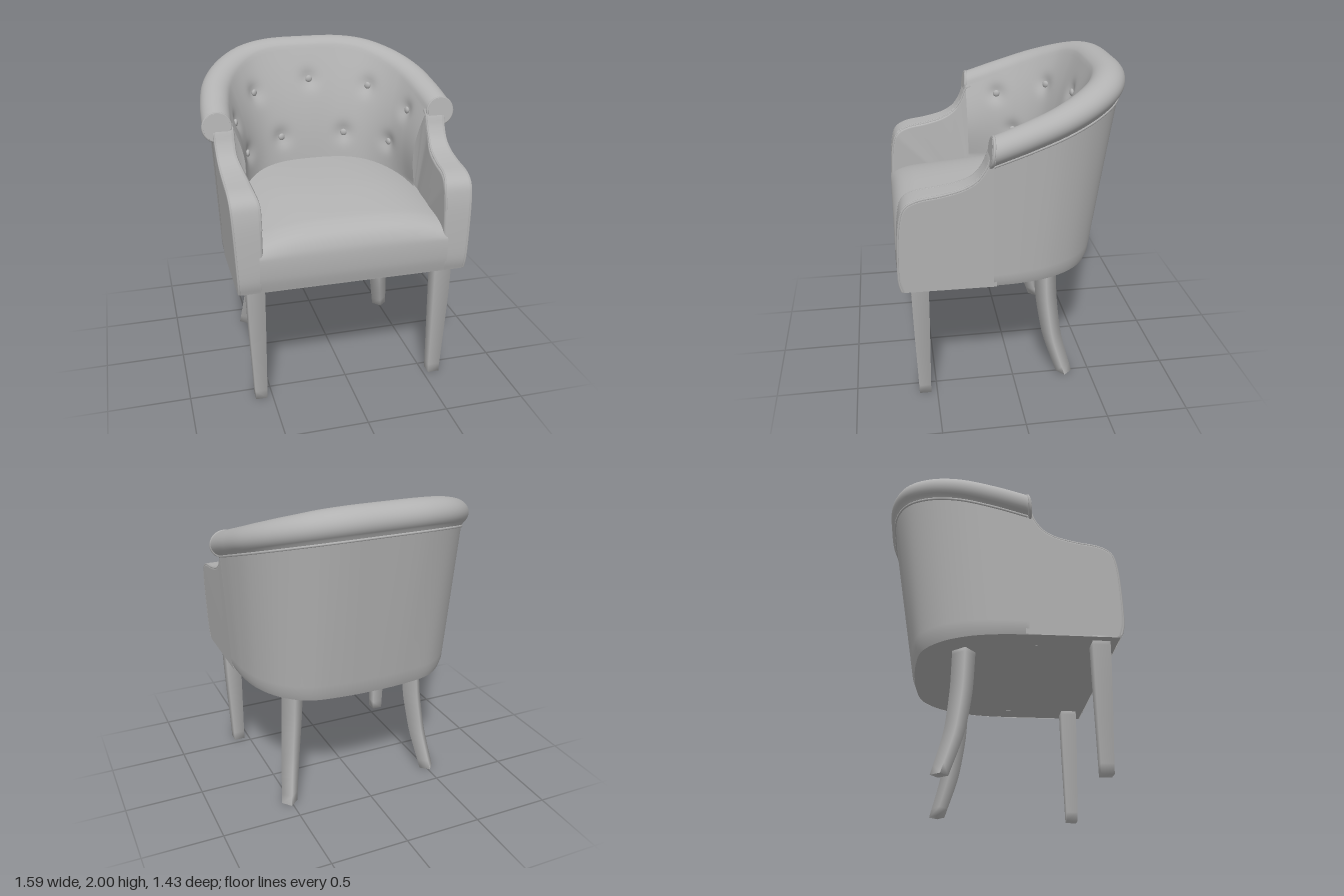
import * as THREE from 'three';
import { toCreasedNormals } from 'three/addons/utils/BufferGeometryUtils.js';

const { lerp, clamp, degToRad, smoothstep } = THREE.MathUtils;
const V = (x, y, z) => new THREE.Vector3(x, y, z);
const grey = new THREE.MeshStandardMaterial({ color: 0xb2b2b2, side: THREE.DoubleSide });
grey.name = 'grey upholstery';

function mesh(name, geometry) {
  const m = new THREE.Mesh(geometry, grey);
  m.name = name;
  return m;
}

// Smooth surface from a function of u and v, both 0..1
function surface(nu, nv, fn) {
  const pos = [], index = [];
  for (let i = 0; i <= nu; i++) {
    for (let j = 0; j <= nv; j++) {
      pos.push(...fn(i / nu, j / nv).toArray());
      if (i < nu && j < nv) {
        const a = i * (nv + 1) + j, b = a + nv + 1;
        index.push(a, a + 1, b, b, a + 1, b + 1);
      }
    }
  }
  const g = new THREE.BufferGeometry();
  g.setAttribute('position', new THREE.Float32BufferAttribute(pos, 3));
  g.setIndex(index);
  g.computeVertexNormals();
  return g;
}

// Half plan of the tub, arm to back centre: base x,z, rim seam x,z, lining x,z
const stations = [
  [0.70, 0.15, 0.738, 0.15, 0.555, 0.15],
  [0.69, -0.02, 0.727, -0.06, 0.53, 0.0],
  [0.65, -0.20, 0.69, -0.27, 0.47, -0.13],
  [0.56, -0.36, 0.60, -0.45, 0.37, -0.235],
  [0.42, -0.47, 0.46, -0.59, 0.25, -0.29],
  [0.22, -0.51, 0.27, -0.665, 0.12, -0.31],
  [0, -0.52, 0, -0.68, 0, -0.315],
];
function planCurve(k) {
  const half = stations.map(s => V(s[k], 0, s[k + 1]));
  const other = half.slice(0, -1).reverse().map(p => V(-p.x, 0, p.z));
  return new THREE.CatmullRomCurve3([...half, ...other]);
}
const base = planCurve(0), rim = planCurve(2), lining = planCurve(4);
const seamY = z => 1.55 + (0.17 - z) * 0.32;

function seamPoint(u) {
  const p = rim.getPoint(u);
  p.y = seamY(p.z);
  return p;
}
function outward(u) {
  const t = rim.getTangent(u);
  return V(-t.z, 0, t.x);
}

// Point on the rolled rim, k from the seam (0) over the top to the lining (1)
function rollPoint(u, k) {
  const s = seamPoint(u);
  const f = clamp((0.15 - s.z) / 0.83, 0, 1);
  const rx = 0.087 + 0.018 * f, ry = 0.08 + 0.01 * f;
  const a = degToRad(lerp(-70 + 20 * f, 175 - 25 * f, k));
  const p = s.addScaledVector(outward(u), 0.053 - 0.018 * f - rx + rx * Math.cos(a));
  p.y += 0.08 + 0.005 * f + ry * Math.sin(a);
  return p;
}

// Inner padding, k from rim (0) down to below the seat (1), swollen halfway
function wallPoint(u, k) {
  const top = rollPoint(u, 1), low = lining.getPoint(u);
  low.y = 1.15;
  const swell = 0.042 * Math.sin(Math.PI * Math.min(1, k * 1.15));
  return top.lerp(low, k * 1.15).addScaledVector(outward(u), -swell);
}

// Buttons: station along the half plan, and height
const buttons = [];
for (const [k, y] of [[6, 1.74], [3.45, 1.69], [1.1, 1.59], [4.5, 1.38], [2.0, 1.35]]) {
  for (const u of k === 6 ? [0.5] : [k / 12, 1 - k / 12]) {
    const y0 = rollPoint(u, 1).y;
    buttons.push({ p: wallPoint(u, (y0 - y) / (y0 - 1.15) / 1.15), out: outward(u) });
  }
}

function paddedPoint(u, v) {
  if (v < 0.35) return v === 0 ? seamPoint(u) : rollPoint(u, v / 0.35);
  const p = wallPoint(u, (v - 0.35) / 0.65);
  const q = p.clone();
  for (const b of buttons) {
    const d = p.distanceTo(b.p);
    q.addScaledVector(b.out, 0.026 * Math.exp(-d * d / 0.0032));
  }
  return q;
}

// Arm edge, seen from the side, as z,y
const armCurve = new THREE.SplineCurve([
  [0.685, 0.785], [0.705, 0.88], [0.70, 1.1], [0.685, 1.25], [0.655, 1.335], [0.58, 1.378],
  [0.45, 1.4], [0.33, 1.43], [0.25, 1.475], [0.20, 1.54], [0.17, 1.61], [0.14, 1.65],
].map(p => new THREE.Vector2(...p)));
const armInner = y => 0.545 + 0.06 * smoothstep(y, 1.3, 1.5);
const armOuter = y => 0.698 + 0.033 * (y - 0.8) / 0.75;

// Arm section: from the inner wall over the rounded edges to the outer wall
function armPoint(u, v) {
  const p = armCurve.getPoint(u), t = armCurve.getTangent(u);
  const b = 0.02, steps = 12, j = Math.round(v * steps);
  if (j === 0 || j === steps) return V((j ? armOuter : armInner)(0.785), 0.785, 0.13);
  const k = Math.min(j, steps - j) - 1;
  const a = Math.min(1, k / 4) * Math.PI / 2;
  const inset = b * (1 - Math.sin(a)), depth = b * (1 - Math.cos(a));
  const z = p.x - t.y * inset, y = p.y + t.x * inset;
  const x = j === steps / 2 ? (armInner(y) + armOuter(y)) / 2
    : j < steps / 2 ? armInner(y) + depth : armOuter(y) - depth;
  return V(x, y, z);
}

function arm(side) {
  const g = new THREE.Group();
  g.name = side > 0 ? 'leftArm' : 'rightArm';
  g.add(mesh('armPad', surface(60, 12, (u, v) => armPoint(u, v).multiply(V(side, 1, 1)))));

  // Piping along both edges of the arm
  const edgePoints = armCurve.getPoints(44);
  for (const [edge, inset, from] of [[armInner, 0.008, 10], [armOuter, -0.008, 1]]) {
    const path = edgePoints.slice(from, -2).map(p => V(side * (edge(p.y) + inset), p.y - 0.006, p.x - 0.006));
    g.add(mesh('armPiping', new THREE.TubeGeometry(new THREE.CatmullRomCurve3(path), 70, 0.008, 6)));
  }

  // Scroll face closing the rolled rim
  const scroll = new THREE.Group();
  scroll.name = 'armScroll';
  const disc = mesh('scrollFace', new THREE.CylinderGeometry(0.082, 0.086, 0.022, 32));
  disc.rotation.x = Math.PI / 2;
  scroll.add(disc, mesh('scrollPiping', new THREE.TorusGeometry(0.083, 0.009, 8, 36)));
  scroll.position.set(side * 0.705, 1.632, 0.157);
  scroll.rotation.x = -0.12;
  g.add(scroll);
  return g;
}

// Seat cushion: front face rolling over into a crowned top, as z,y
const seatProfile = new THREE.SplineCurve([
  [0.685, 0.785], [0.705, 0.87], [0.71, 0.97], [0.70, 1.04], [0.665, 1.1], [0.6, 1.14], [0.5, 1.165],
  [0.2, 1.205], [-0.1, 1.22], [-0.38, 1.22],
].map(p => new THREE.Vector2(...p)));
function seatPoint(u, v) {
  const p = seatProfile.getPoint(v), s = 2 * u - 1;
  const w = p.x < 0 ? 0.57 * Math.sqrt(1 - (p.x / 0.45) ** 2) : 0.57;
  const x = s * w, top = clamp((p.y - 1.0) / 0.2, 0, 1);
  return V(x, p.y - top * 0.45 * Math.abs(x) ** 3, p.x);
}

// Square leg, softly shaded, bent along a centre line of x,z,width from top to floor
function leg(name, side, line, turn) {
  const h = 0.82, geo = new THREE.BoxGeometry(1, h, 1, 1, 14, 1).rotateY(turn);
  const curve = new THREE.CatmullRomCurve3(line.map(p => V(...p)));
  const pos = geo.attributes.position;
  for (let i = 0; i < pos.count; i++) {
    const y = pos.getY(i) + h / 2, c = curve.getPoint(clamp(1 - y / h, 0, 1));
    pos.setXYZ(i, side * (c.x + pos.getX(i) * c.z), y, c.y + pos.getZ(i) * c.z);
  }
  return mesh(name, toCreasedNormals(geo, 1.75));
}

export function createModel() {
  const chair = new THREE.Group();
  chair.name = 'tubArmchair';

  // Outer shell, tucked under slightly at the bottom
  chair.add(mesh('outerShell', surface(120, 20, (u, v) => {
    const p = base.getPoint(u).lerp(rim.getPoint(u), v);
    const tuck = v === 0 ? 0.98 : 1;
    return V(p.x * tuck, lerp(0.785, seamY(rim.getPoint(u).z), v), p.z * tuck);
  })));
  chair.add(mesh('paddedLiningAndRim', surface(160, 60, paddedPoint)));

  // Piping under the rolled rim
  const seam = Array.from({ length: 61 }, (_, i) => seamPoint(i / 60));
  chair.add(mesh('rimPiping', new THREE.TubeGeometry(new THREE.CatmullRomCurve3(seam), 140, 0.009, 6)));

  // Buttons
  for (const { p, out } of buttons) {
    const b = mesh('button', new THREE.SphereGeometry(0.023, 16, 12));
    b.scale.z = 0.6;
    b.position.copy(p).addScaledVector(out, 0.016);
    b.lookAt(b.position.clone().add(out));
    chair.add(b);
  }

  chair.add(mesh('seatCushion', surface(40, 60, seatPoint)));

  // Underside
  const outline = base.getPoints(60).map(p => new THREE.Vector2(p.x * 0.98, p.z * 0.98));
  const under = new THREE.Shape([new THREE.Vector2(0.685, 0.68), ...outline, new THREE.Vector2(-0.685, 0.68)]);
  const plate = new THREE.ShapeGeometry(under).rotateX(Math.PI / 2).translate(0, 0.786, 0);
  chair.add(mesh('underside', plate));

  for (const side of [1, -1]) {
    chair.add(arm(side));
    chair.add(leg('frontLeg', side, [[0.583, 0.58, 0.104], [0.57, 0.575, 0.072]], 0));
    chair.add(leg('rearLeg', side, [
      [0.42, -0.21, 0.1], [0.435, -0.222, 0.096], [0.465, -0.258, 0.086], [0.508, -0.338, 0.072],
    ], degToRad(40)));
  }
  return chair;
}
